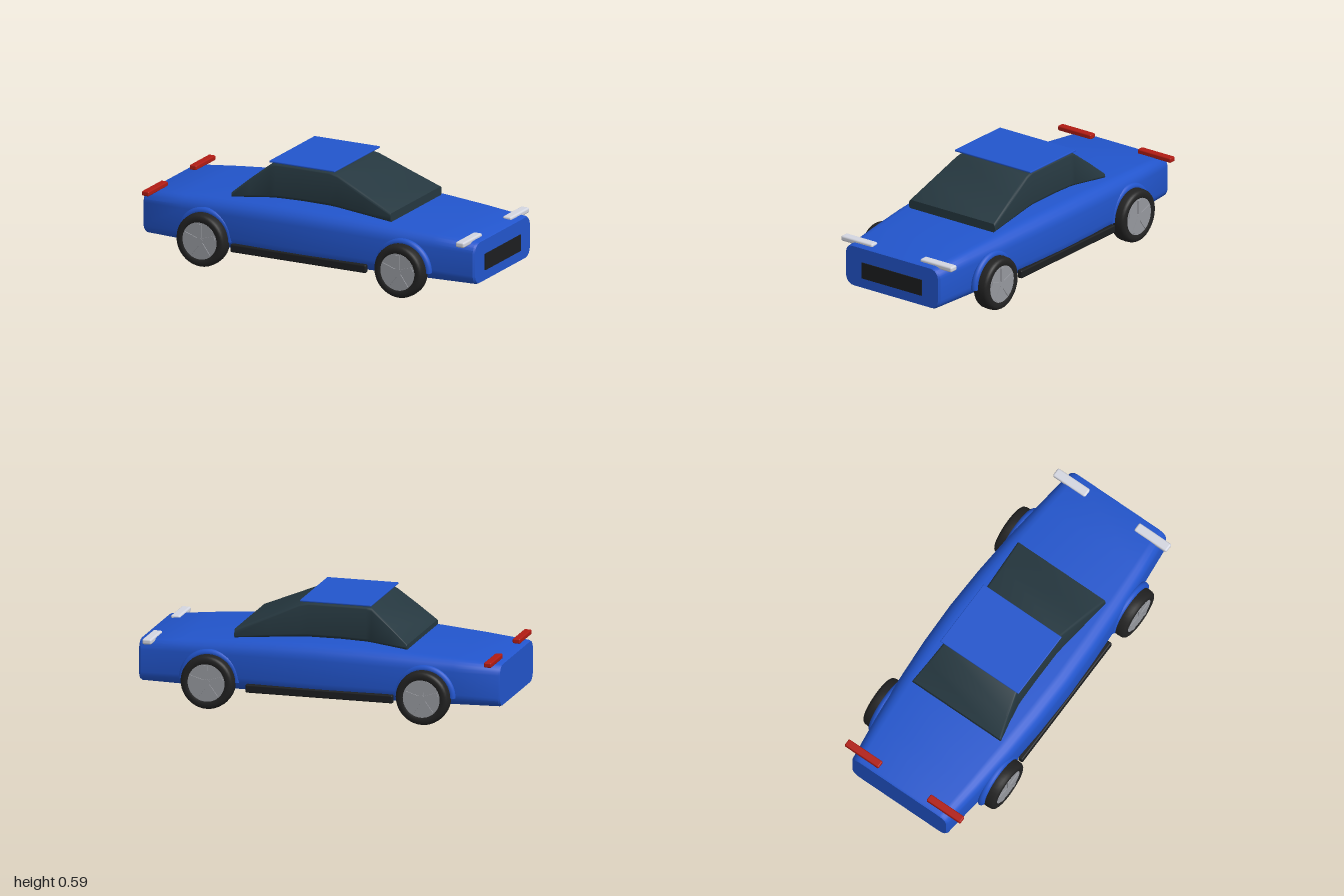
import * as THREE from 'three';
import { toCreasedNormals } from 'three/addons/utils/BufferGeometryUtils.js';
import { RoundedBoxGeometry } from 'three/addons/geometries/RoundedBoxGeometry.js';

const mat = (color) => new THREE.MeshStandardMaterial({ color });
const paint = mat(0x2255cc), glass = mat(0x263840), rubber = mat(0x222222);
const trim = mat(0x1c1e20), metal = mat(0x96989e), lamp = mat(0xd4d6e0), tailRed = mat(0xb01c14);

function add(parent, name, geometry, material, x = 0, y = 0, z = 0) {
  const mesh = new THREE.Mesh(geometry, material);
  mesh.name = name;
  mesh.position.set(x, y, z);
  parent.add(mesh);
  return mesh;
}

// Rounded cross-section in the yz plane, running from +z up over the top
function section([x, y0, y1, bottomHalf, topHalf, r]) {
  const points = [], steps = 5;
  const corners = [[topHalf, y1, 1, 1], [topHalf, y1, -1, 1], [bottomHalf, y0, -1, -1], [bottomHalf, y0, 1, -1]];
  corners.forEach(([half, y, sz, sy], q) => {
    for (let i = 0; i <= steps; i++) {
      const a = (q + i / steps) * Math.PI / 2;
      points.push([x, y - sy * r + Math.sin(a) * r, sz * (half - r) + Math.cos(a) * r]);
    }
  });
  return points;
}

// Capped skin through a row of cross-sections along x
function loft(rows, crease) {
  const rings = rows.map(section), n = rings[0].length, last = rings.length - 1;
  const positions = rings.flat(), index = [];
  for (let i = 0; i < last; i++) {
    for (let j = 0; j < n; j++) {
      const k = (j + 1) % n, a = i * n + j, d = i * n + k;
      index.push(a, a + n, d + n, a, d + n, d);
    }
  }
  const mid = (row) => [row[0], (row[1] + row[2]) / 2, 0];
  const back = positions.push(mid(rows[0])) - 1;
  const front = positions.push(mid(rows[last])) - 1;
  for (let j = 0; j < n; j++) {
    const k = (j + 1) % n;
    index.push(back, j, k, front, last * n + k, last * n + j);
  }
  const g = new THREE.BufferGeometry();
  g.setAttribute('position', new THREE.Float32BufferAttribute(positions.flat(), 3));
  g.setIndex(index);
  return toCreasedNormals(g, crease);
}

function makeWheel(side) {
  const wheel = new THREE.Group();
  wheel.name = 'wheel';
  // Tyre profile: radius, offset along the axle
  const profile = [[0.1, -0.04], [0.112, -0.046], [0.128, -0.046], [0.139, -0.04], [0.145, -0.028], [0.147, 0],
    [0.145, 0.028], [0.139, 0.04], [0.128, 0.046], [0.112, 0.046], [0.1, 0.04], [0.1, -0.04]];
  const tyre = new THREE.LatheGeometry(profile.map(([r, h]) => new THREE.Vector2(r, h)), 40);
  add(wheel, 'tyre', tyre.rotateX(Math.PI / 2), rubber);
  add(wheel, 'rim', new THREE.CylinderGeometry(0.102, 0.102, 0.084, 40).rotateX(Math.PI / 2), metal);
  add(wheel, 'hubCap', new THREE.CylinderGeometry(0.022, 0.022, 0.01, 20).rotateX(Math.PI / 2), metal, 0, 0, side * 0.043);
  for (let i = 0; i < 5; i++) {
    const a = i * Math.PI * 2 / 5 + 0.3;
    const spoke = add(wheel, 'spoke', new THREE.BoxGeometry(0.085, 0.024, 0.008), metal,
      Math.cos(a) * 0.052, Math.sin(a) * 0.052, side * 0.043);
    spoke.rotation.z = a;
  }
  return wheel;
}

export function createModel() {
  const car = new THREE.Group();
  car.name = 'car';

  // Body shell: x, bottom, top, bottom half width, top half width, corner radius
  add(car, 'body', loft([
    [-1, 0.105, 0.328, 0.305, 0.305, 0.05],
    [-0.99, 0.1, 0.333, 0.313, 0.313, 0.055],
    [-0.75, 0.1, 0.353, 0.343, 0.343, 0.065],
    [-0.5, 0.1, 0.37, 0.369, 0.369, 0.075],
    [-0.25, 0.1, 0.382, 0.385, 0.385, 0.08],
    [0, 0.1, 0.386, 0.39, 0.39, 0.08],
    [0.25, 0.1, 0.382, 0.383, 0.383, 0.08],
    [0.5, 0.1, 0.37, 0.367, 0.367, 0.075],
    [0.75, 0.1, 0.353, 0.342, 0.342, 0.065],
    [0.985, 0.1, 0.333, 0.316, 0.316, 0.055],
    [0.995, 0.105, 0.328, 0.307, 0.307, 0.05],
  ], 0.6), paint);

  // Glasshouse, low and wide at the ends, with its lower edge arched
  add(car, 'cabinGlass', loft([
    [-0.48, 0.376, 0.402, 0.29, 0.288, 0.01],
    [-0.38, 0.382, 0.488, 0.27, 0.264, 0.014],
    [-0.27, 0.39, 0.576, 0.252, 0.242, 0.018],
    [-0.24, 0.392, 0.58, 0.25, 0.24, 0.018],
    [-0.1, 0.396, 0.58, 0.248, 0.238, 0.018],
    [0.08, 0.395, 0.58, 0.248, 0.238, 0.018],
    [0.13, 0.393, 0.569, 0.252, 0.242, 0.018],
    [0.3, 0.383, 0.495, 0.27, 0.264, 0.016],
    [0.475, 0.372, 0.42, 0.288, 0.286, 0.014],
  ], 0.6), glass);
  add(car, 'roofPanel', new RoundedBoxGeometry(0.395, 0.01, 0.51, 2, 0.004), paint, -0.075, 0.593, 0);
  add(car, 'grille', new THREE.BoxGeometry(0.02, 0.09, 0.4), trim, 0.99, 0.205, 0);

  for (const side of [1, -1]) {
    for (const x of [-0.6, 0.59]) {
      const wheel = makeWheel(side);
      wheel.position.set(x, 0.15, side * 0.382);
      car.add(wheel);
      // Half-ring flare over the wheel
      add(car, 'wheelArch', new THREE.TorusGeometry(0.15, 0.02, 10, 28, Math.PI), paint, x, 0.15, side * 0.356);
    }
    add(car, 'sideSkirt', new RoundedBoxGeometry(0.815, 0.045, 0.03, 2, 0.008), trim, -0.025, 0.127, side * 0.38);
    add(car, 'headlight', new RoundedBoxGeometry(0.052, 0.03, 0.21, 3, 0.01), lamp, 0.935, 0.335, side * 0.265);
    add(car, 'tailLight', new RoundedBoxGeometry(0.042, 0.027, 0.22, 3, 0.007), tailRed, -0.952, 0.348, side * 0.267);
  }
  return car;
}
